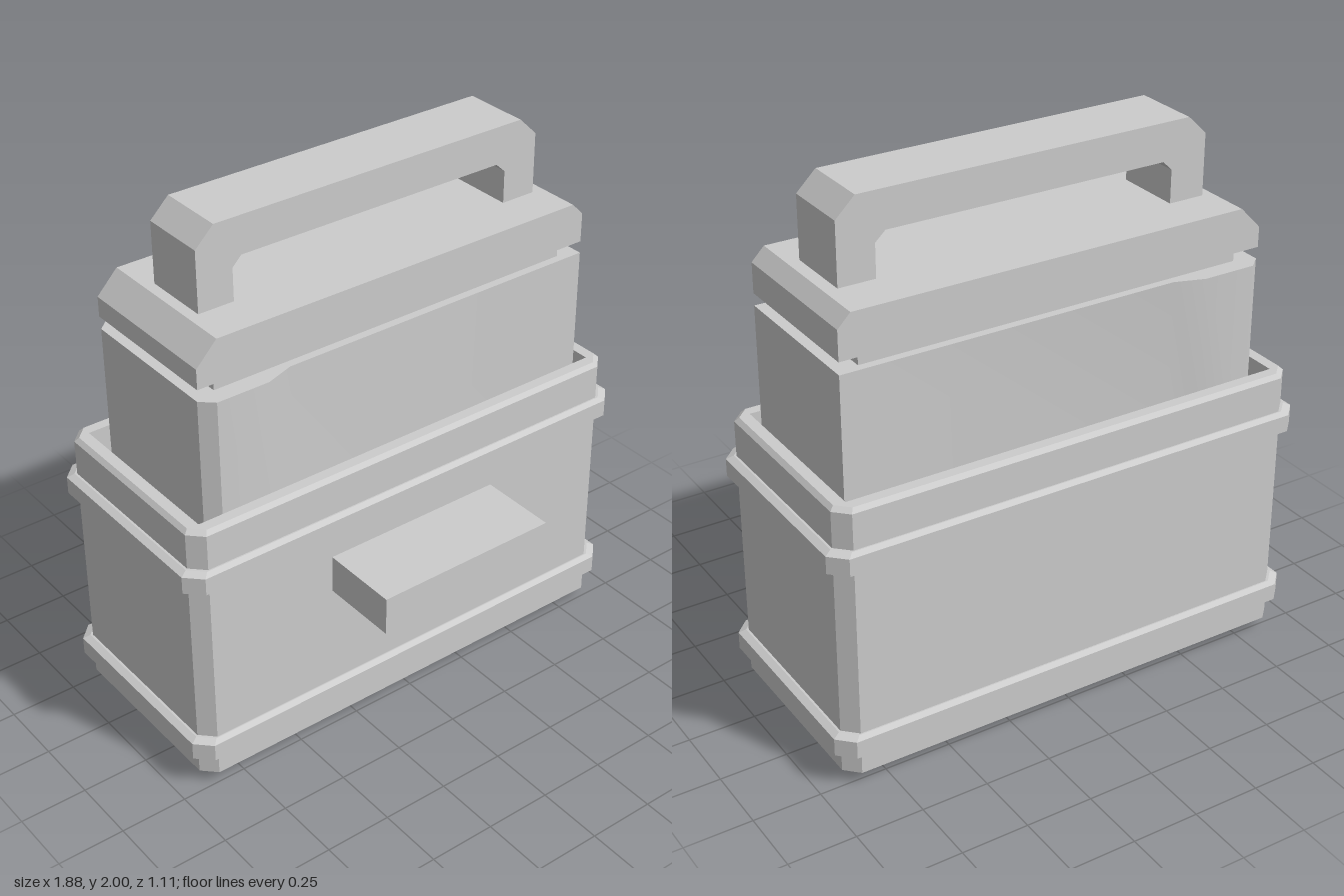
import * as THREE from 'three';
import { toCreasedNormals } from 'three/addons/utils/BufferGeometryUtils.js';

const MID_Z = -0.137; // centre plane of the case
const material = new THREE.MeshStandardMaterial({ color: 0xcccccc });
const flat = new THREE.MeshStandardMaterial({ color: 0xcccccc, flatShading: true });

function add(parent, name, geometry, mat = flat) {
  const mesh = new THREE.Mesh(geometry, mat);
  mesh.name = name;
  parent.add(mesh);
  return mesh;
}

// Stack of corner-cut rectangles: each ring is [y, halfWidth, halfDepth, cornerCut]
function stackRings(rings) {
  const positions = [];
  const index = [];
  for (const [y, w, d, c] of rings) {
    const outline = [
      [w, d - c], [w, c - d], [w - c, -d], [c - w, -d],
      [-w, c - d], [-w, d - c], [c - w, d], [w - c, d],
    ];
    for (const [x, z] of outline) positions.push(x, y, z + MID_Z);
  }
  const last = (rings.length - 1) * 8;
  for (let base = 0; base < last; base += 8) {
    for (let j = 0; j < 8; j++) {
      const k = (j + 1) % 8;
      index.push(base + j, base + k, base + 8 + k, base + j, base + 8 + k, base + 8 + j);
    }
  }
  for (let j = 1; j < 7; j++) {
    index.push(0, j + 1, j, last, last + j, last + j + 1);
  }
  const geometry = new THREE.BufferGeometry();
  geometry.setAttribute('position', new THREE.Float32BufferAttribute(positions, 3));
  geometry.setIndex(index);
  const result = geometry.toNonIndexed();
  result.computeVertexNormals();
  return result;
}

function extrude(points, depth) {
  const shape = new THREE.Shape(points.map(([x, y]) => new THREE.Vector2(x, y)));
  return new THREE.ExtrudeGeometry(shape, { depth, bevelEnabled: false });
}

function box(x0, x1, y0, y1, z0, z1) {
  return new THREE.BoxGeometry(x1 - x0, y1 - y0, z1 - z0)
    .translate((x0 + x1) / 2, (y0 + y1) / 2, (z0 + z1) / 2);
}

export function createModel() {
  const model = new THREE.Group();
  model.name = 'case';

  // Outer shell with tapered foot, bevelled rim and open top recess
  add(model, 'shell', stackRings([
    [0, 0.82, 0.31, 0.03],
    [0.05, 0.907, 0.395, 0.05],
    [1.065, 0.907, 0.395, 0.05],
    [1.08, 0.892, 0.38, 0.045],
    [1.08, 0.85, 0.34, 0.002],
    [0.93, 0.85, 0.34, 0.002],
  ]));

  // Raised bands around the shell
  for (const [name, y0, y1] of [['lowerBand', 0.125, 0.215], ['upperBand', 0.843, 0.932]]) {
    add(model, name, stackRings([
      [y0, 0.915, 0.4, 0.05],
      [y0 + 0.012, 0.94, 0.418, 0.056],
      [y1 - 0.012, 0.94, 0.418, 0.056],
      [y1, 0.915, 0.4, 0.05],
    ]));
  }

  // Front ledge
  add(model, 'frontLedge', box(-0.357, 0.355, 0.61, 0.755, 0.24, 0.557));

  // Inner block, swelling towards one end on both faces
  const side = [[0.83, 0.293], [-0.44, 0.293], [-0.55, 0.33], [-0.75, 0.33], [-0.797, 0.287]];
  const plan = [...side, ...side.map(([x, z]) => [x, -z]).reverse()];
  const block = extrude(plan, 0.6).rotateX(-Math.PI / 2).translate(0, 0.9, MID_Z);
  add(model, 'innerBlock', toCreasedNormals(block, 0.5), material);

  // Neck and chamfered lid
  add(model, 'neck', box(-0.717, 0.748, 1.49, 1.56, -0.4, 0.125));
  const lid = extrude([
    [-0.797, 1.545], [0.83, 1.545], [0.83, 1.655], [0.783, 1.703], [-0.717, 1.703], [-0.797, 1.62],
  ], 0.585).translate(0, 0, -0.43);
  add(model, 'lid', lid);

  // Carrying handle
  const handle = extrude([
    [-0.677, 1.7], [-0.54, 1.7], [-0.54, 1.825], [-0.505, 1.86], [0.562, 1.86], [0.6, 1.825],
    [0.6, 1.7], [0.737, 1.7], [0.737, 1.93], [0.665, 2], [-0.605, 2], [-0.677, 1.93],
  ], 0.256).translate(0, 0, -0.262);
  add(model, 'handle', handle);

  return model;
}
